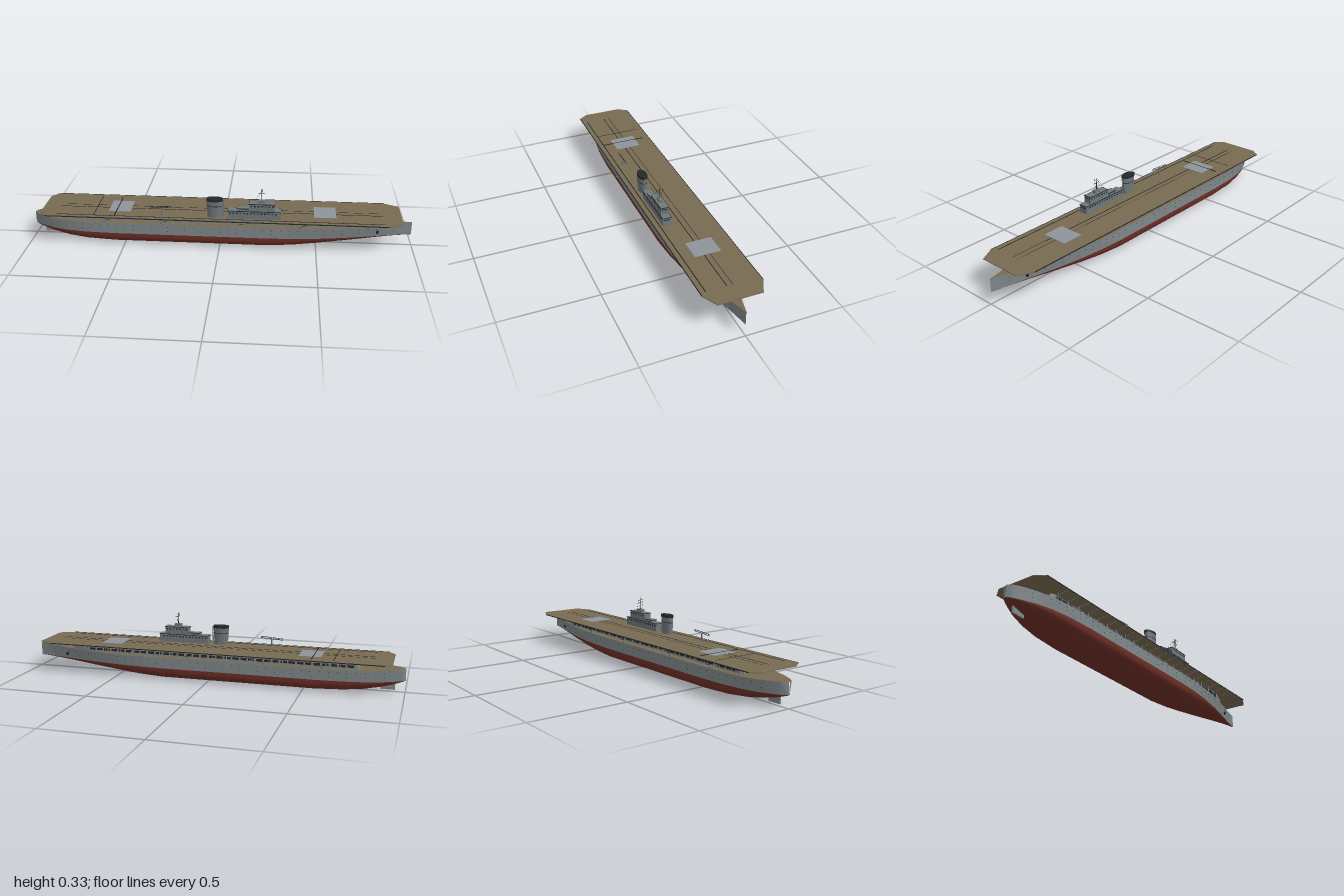
import * as THREE from 'three';

const mat = (name, color, side = THREE.FrontSide) => {
  const m = new THREE.MeshStandardMaterial({ color, side });
  m.name = name;
  return m;
};

export function createModel() {
  const root = new THREE.Group();
  root.name = 'carrierShip';
  const grey = mat('hullGrey', 0x7f8788);
  const red = mat('bottomRed', 0x6e2f26);
  const wood = mat('deckBrown', 0x786a52);
  const lift = mat('liftGrey', 0x8d9499);
  const dark = mat('darkTrim', 0x25282a);
  const steel = mat('islandGrey', 0x6f787a);

  const add = (name, geo, material, x = 0, y = 0, z = 0, parent = root) => {
    const m = new THREE.Mesh(geo, material);
    m.name = name;
    m.position.set(x, y, z);
    parent.add(m);
    return m;
  };
  // Box given by its limits
  const box = (name, material, x0, x1, y0, y1, z0, z1, parent = root) =>
    add(name, new THREE.BoxGeometry(x1 - x0, y1 - y0, z1 - z0), material,
      (x0 + x1) / 2, (y0 + y1) / 2, (z0 + z1) / 2, parent);
  // Round bar between two points
  const bar = (name, material, a, b, r, parent = root) => {
    const p = new THREE.Vector3(...a), q = new THREE.Vector3(...b);
    const m = add(name, new THREE.CylinderGeometry(r, r, p.distanceTo(q), 6), material, 0, 0, 0, parent);
    m.position.copy(p).lerp(q, 0.5);
    m.quaternion.setFromUnitVectors(new THREE.Vector3(0, 1, 0), q.sub(p).normalize());
    return m;
  };

  // Hull stations: x, keel height, waterline half-breadth, deck half-breadth, deck height, section fullness
  const WL = 0.062;
  const stations = [
    [-1, 0.061, 0, 0.003, 0.122, 2], [-0.99, 0.057, 0.015, 0.024, 0.122, 2],
    [-0.97, 0.05, 0.029, 0.039, 0.122, 2], [-0.94, 0.04, 0.045, 0.054, 0.122, 2],
    [-0.88, 0.025, 0.073, 0.08, 0.12, 2.1], [-0.8, 0.012, 0.095, 0.1, 0.12, 2.4],
    [-0.7, 0.004, 0.109, 0.112, 0.12, 2.8], [-0.55, 0, 0.116, 0.116, 0.12, 3.1],
    [0.25, 0, 0.116, 0.116, 0.12, 3.1], [0.38, 0.005, 0.11, 0.114, 0.12, 2.7],
    [0.5, 0.015, 0.099, 0.106, 0.12, 2.3], [0.65, 0.03, 0.075, 0.086, 0.12, 2],
    [0.8, 0.045, 0.042, 0.052, 0.122, 1.7], [0.9, 0.054, 0.019, 0.025, 0.126, 1.5],
    [0.95, 0.058, 0.009, 0.012, 0.129, 1.5], [0.995, 0.061, 0.001, 0.002, 0.131, 1.5],
  ];
  const at = (x, k) => {
    const i = Math.max(1, stations.findIndex((s) => s[0] >= x));
    const a = stations[i - 1], b = stations[i];
    return a[k] + (b[k] - a[k]) * (x - a[0]) / (b[0] - a[0]);
  };
  // Skin a row of sections, each a list of [y, z]
  const loft = (section) => {
    const pos = [], idx = [];
    let n = 0;
    stations.forEach((s, i) => {
      const ring = section(s);
      n = ring.length;
      ring.forEach(([y, z]) => pos.push(s[0], y, z));
      if (i) for (let j = 0; j < n - 1; j++) {
        const a = (i - 1) * n + j, b = i * n + j;
        idx.push(a, b, a + 1, b, b + 1, a + 1);
      }
    });
    const g = new THREE.BufferGeometry();
    g.setAttribute('position', new THREE.Float32BufferAttribute(pos, 3));
    g.setIndex(idx);
    g.computeVertexNormals();
    return g;
  };
  add('hullBottom', loft(([, k, w, , , n]) => {
    const ring = [];
    for (let j = 0; j <= 24; j++) {
      const t = -Math.PI / 2 + Math.PI * j / 24;
      const s = Math.sin(t), c = Math.max(0, Math.cos(t));
      ring.push([WL - (WL - k) * Math.pow(c, 2 / n), w * Math.sign(s) * Math.pow(Math.abs(s), 2 / n)]);
    }
    return ring;
  }), red);
  add('hullSideLeft', loft(([, , w, d, h]) => [[WL, w], [h, d]]), grey);
  add('hullSideRight', loft(([, , w, d, h]) => [[h, -d], [WL, -w]]), grey);
  add('mainDeck', loft(([, , , d, h]) => [[h - 0.002, d], [h - 0.002, -d]]), wood);
  box('rudder', grey, -0.95, -0.88, 0.01, 0.045, -0.004, 0.004);

  // Portholes along both sides
  const port = new THREE.CylinderGeometry(0.002, 0.002, 0.003, 6).rotateX(Math.PI / 2);
  for (const side of [-1, 1]) for (const [y, step] of [[0.105, 0.045], [0.085, 0.09]])
    for (let x = -0.9; x < 0.93; x += step) {
      const f = (y - WL) / (at(x, 4) - WL);
      add('porthole', port, dark, x, y, side * (at(x, 2) * (1 - f) + at(x, 3) * f));
    }
  for (const side of [-1, 1]) box('anchor', dark, 0.81, 0.822, 0.08, 0.095, side * 0.046 - 0.004, side * 0.046 + 0.004);

  // Prism from a plan outline [x, z] mirrored across the centreline
  const prism = (half, y0, y1) => {
    const pts = [...half, ...half.slice().reverse().map(([x, z]) => [x, -z])];
    const g = new THREE.ExtrudeGeometry(new THREE.Shape(pts.map((p) => new THREE.Vector2(...p))),
      { depth: y1 - y0, bevelEnabled: false });
    return g.rotateX(-Math.PI / 2).translate(0, y0, 0);
  };
  add('hangar', prism([[-0.78, 0.06], [-0.765, 0.072], [0.68, 0.072], [0.78, 0.037]], 0.118, 0.163), grey);
  for (const side of [-1, 1]) for (let i = 0; i < 34; i++) {
    const x = -0.75 + i * 0.042;
    for (const [y0, y1] of [[0.126, 0.138], [0.143, 0.157]])
      box('hangarOpening', dark, x, x + 0.032, y0, y1, side * 0.073 - 0.002, side * 0.073 + 0.002);
  }

  // Flight deck with lifts and markings
  add('flightDeck', prism([[-0.94, 0.105], [-0.905, 0.151], [0.86, 0.151], [0.937, 0.112]], 0.162, 0.166), wood);
  for (const x of [-0.528, 0.543]) box('lift', lift, x - 0.057, x + 0.057, 0.165, 0.168, -0.068, 0.067);
  box('deckLineCentre', dark, -0.85, 0.84, 0.165, 0.1668, 0.018, 0.022);
  box('deckLineRight', dark, -0.85, 0.84, 0.165, 0.1668, -0.011, -0.009);
  box('deckLineLeft', dark, -0.85, 0.84, 0.165, 0.1668, 0.122, 0.127);
  box('arrestorLineAft', dark, -0.657, -0.653, 0.165, 0.1668, -0.12, 0.12);
  box('arrestorLineFore', dark, -0.547, -0.542, 0.165, 0.1686, -0.115, 0.12);
  for (const side of [-1, 1]) {
    box('deckEdge', dark, -0.905, 0.86, 0.1625, 0.1668, side * 0.151 - 0.0015, side * 0.151 + 0.0015);
    // Brackets and posts carrying the overhang
    for (let x = -0.76; x < 0.7; x += 0.073) {
      bar('deckBracket', grey, [x, 0.152, side * 0.1], [x, 0.163, side * 0.15], 0.0015);
      const z = side * Math.min(0.09, at(x, 3) - 0.008);
      bar('deckPost', grey, [x, 0.118, z], [x, 0.163, z], 0.0022);
    }
    for (const x of [-0.64, -0.24]) {
      bar('boom', steel, [x, 0.14, side * 0.09], [x, 0.14, side * 0.17], 0.0016);
      bar('boomBrace', steel, [x, 0.121, side * 0.112], [x, 0.139, side * 0.096], 0.0016);
    }
    // Small deck guns
    for (const x of [-0.6, -0.3, 0.1, 0.42]) {
      add('gunMount', new THREE.CylinderGeometry(0.006, 0.008, 0.012, 10), steel, x, 0.125, side * 0.101);
      bar('gunBarrel', dark, [x, 0.13, side * 0.1], [x + 0.025, 0.134, side * 0.108], 0.0015);
    }
  }

  // Island bridge on the left side
  const island = new THREE.Group();
  island.name = 'island';
  root.add(island);
  const Z = 0.087;
  const tier = (name, x0, x1, y0, y1, w) => {
    box(name, steel, x0, x1, y0, y1, Z - w, Z + w, island);
    box(name + 'Roof', dark, x0 - 0.002, x1 + 0.002, y1 - 0.002, y1 + 0.001, Z - w - 0.002, Z + w + 0.002, island);
    box(name + 'Top', steel, x0, x1, y1, y1 + 0.002, Z - w + 0.001, Z + w - 0.001, island);
    // Windows on the sides and front
    for (let x = x0 + 0.012; x < x1 - 0.008; x += 0.018)
      for (const s of [-1, 1])
        box('window', dark, x - 0.004, x + 0.004, y1 - 0.015, y1 - 0.008, Z + s * w - 0.001, Z + s * w + 0.001, island);
    for (let i = -1; i <= 1; i++)
      box('frontWindow', dark, x1 - 0.001, x1 + 0.001, y1 - 0.015, y1 - 0.008, Z + i * 0.011 - 0.004, Z + i * 0.011 + 0.004, island);
  };
  tier('islandBase', 0.042, 0.314, 0.166, 0.208, 0.023);
  tier('islandAftHouse', 0.09, 0.16, 0.208, 0.22, 0.017);
  tier('islandBridge', 0.152, 0.282, 0.208, 0.248, 0.021);
  box('director', steel, 0.195, 0.235, 0.25, 0.264, Z - 0.01, Z + 0.01, island);
  bar('mast', dark, [0.215, 0.25, Z], [0.215, 0.326, Z], 0.002, island);
  bar('mastYard', dark, [0.215, 0.314, Z - 0.017], [0.215, 0.314, Z + 0.017], 0.001, island);
  bar('mastSpar', dark, [0.198, 0.3, Z], [0.232, 0.3, Z], 0.001, island);
  for (const s of [-1, 1]) bar('mastStay', dark, [0.215, 0.314, Z + s * 0.016], [0.215, 0.25, Z + s * 0.004], 0.0005, island);
  bar('aerialWire', dark, [0.215, 0.314, Z - 0.016], [0.15, 0.167, -0.008], 0.0005, island);

  // Oval funnel with a black cap
  const oval = (name, material, rBottom, rTop, y0, y1) => {
    const m = add(name, new THREE.CylinderGeometry(rTop, rBottom, y1 - y0, 32), material, -0.026, (y0 + y1) / 2, Z, island);
    m.scale.z = 0.56;
  };
  oval('funnel', steel, 0.037, 0.042, 0.166, 0.254);
  oval('funnelCap', dark, 0.043, 0.043, 0.254, 0.267);
  oval('funnelBand', dark, 0.0415, 0.0415, 0.226, 0.229);
  bar('steamPipe', steel, [0.018, 0.166, Z], [0.02, 0.26, Z], 0.003, island);

  // Lattice crane aft of the funnel
  const crane = new THREE.Group();
  crane.name = 'crane';
  root.add(crane);
  bar('cranePost', steel, [-0.3, 0.166, 0.097], [-0.3, 0.212, 0.097], 0.004, crane);
  for (const y of [0, 0.008])
    bar('craneJib', dark, [-0.36, 0.204 + y, 0.097], [-0.24, 0.212 + y, 0.097], 0.0012, crane);
  for (let i = 0; i < 8; i++) {
    const x = -0.36 + i * 0.015, y = 0.204 + i * 0.001, up = i % 2 ? 0.008 : 0;
    bar('craneLacing', dark, [x, y + up, 0.097], [x + 0.015, y + 0.009 - up, 0.097], 0.0008, crane);
  }
  return root;
}
